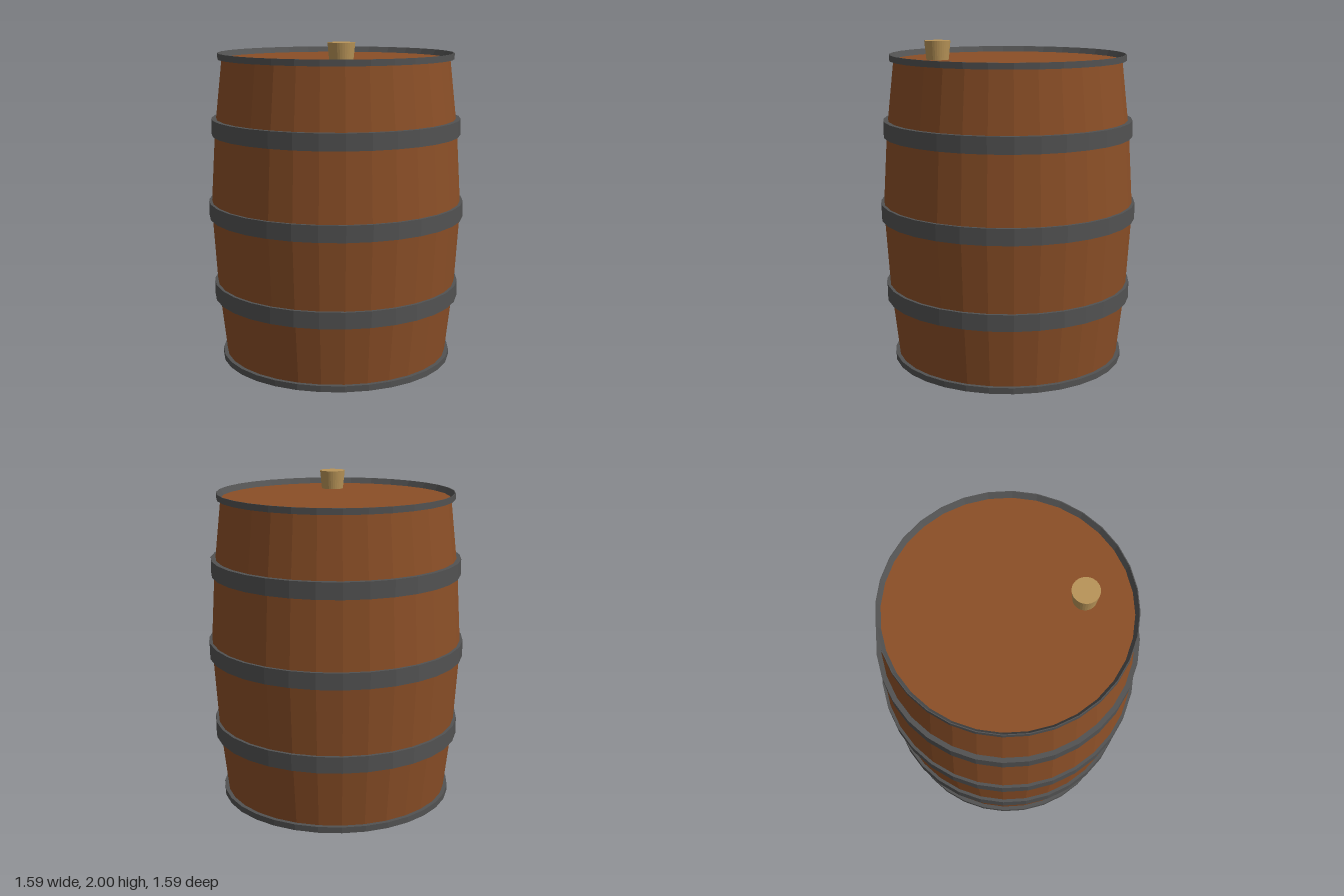
import * as THREE from 'three';

const SIDES = 32;
const HEIGHT = 1.92;

const material = (color) => new THREE.MeshStandardMaterial({ color, flatShading: true });

// Solid of revolution from [radius, y] pairs, listed upwards along the outside
function turned(name, profile, mat) {
  const points = profile.map(([r, y]) => new THREE.Vector2(r, y));
  const mesh = new THREE.Mesh(new THREE.LatheGeometry(points, SIDES), mat);
  mesh.name = name;
  return mesh;
}

export function createModel() {
  const barrel = new THREE.Group();
  barrel.name = 'barrel';
  const wood = material(0x8b4f27);
  const iron = material(0x525252);
  const cork = material(0xb89458);

  // Bulging staves closed by the two recessed heads
  barrel.add(turned('staves', [
    [0, 0.035], [0.7, 0.035], [0.75, 0.48], [0.78, 0.96],
    [0.75, 1.44], [0.7, HEIGHT - 0.035], [0, HEIGHT - 0.035],
  ], wood));

  // Three wide hoops around the belly
  const hoops = [['lowerHoop', 0.448, 0.77], ['middleHoop', 0.96, 0.795], ['upperHoop', 1.472, 0.77]];
  for (const [name, y, r] of hoops) {
    barrel.add(turned(name, [
      [0.72, y - 0.05], [r, y - 0.05], [r, y + 0.05], [0.72, y + 0.05],
    ], iron));
  }

  // Thin end rims, bevelled inwards down to the heads
  barrel.add(turned('bottomRim', [
    [0.7, 0.035], [0.72, 0], [0.725, 0], [0.725, 0.037], [0.7, 0.037],
  ], iron));
  barrel.add(turned('topRim', [
    [0.7, HEIGHT - 0.037], [0.725, HEIGHT - 0.037], [0.725, HEIGHT], [0.72, HEIGHT], [0.7, HEIGHT - 0.035],
  ], iron));

  // Tapered stopper near the front of the top head
  const stopper = new THREE.Mesh(new THREE.CylinderGeometry(0.08, 0.068, 0.12, SIDES), cork);
  stopper.name = 'stopper';
  stopper.position.set(0, 1.94, 0.43);
  barrel.add(stopper);

  return barrel;
}
